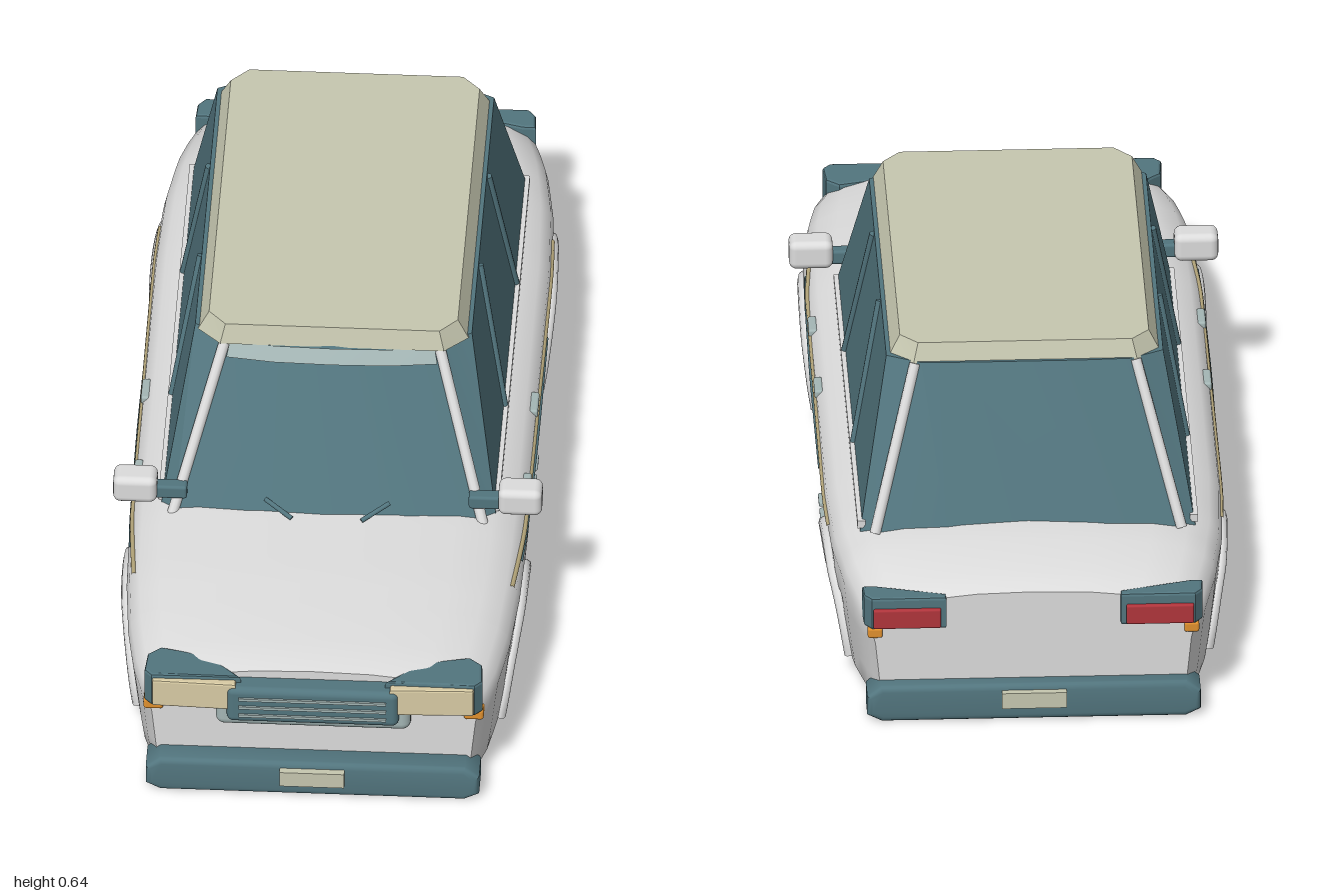
import * as THREE from 'three';
import { toCreasedNormals } from 'three/addons/utils/BufferGeometryUtils.js';
import { RoundedBoxGeometry } from 'three/addons/geometries/RoundedBoxGeometry.js';

const mat = (name, color) => new THREE.MeshStandardMaterial({ name, color });
const white = mat('body white', 0xdcdcdc);
const dark = mat('dark teal', 0x52757e);
const cream = mat('roof cream', 0xc6c7b0);
const lens = mat('lamp cream', 0xd8cba4);
const gold = mat('trim gold', 0xb5a67a);
const amber = mat('amber', 0xe0902e);
const red = mat('red', 0xb0353c);
const silver = mat('pale blue grey', 0xa4b6b5);

const V = (x, y, z) => new THREE.Vector3(x, y, z);
const MIRROR = [1, -1];

// Piecewise linear lookup in [key, value] rows with falling keys
function lookup(rows, k) {
  if (k >= rows[0][0]) return rows[0][1];
  for (let i = 1; i < rows.length; i++) {
    const [a, va] = rows[i - 1], [b, vb] = rows[i];
    if (k >= b) return va + (vb - va) * (a - k) / (a - b);
  }
  return rows[rows.length - 1][1];
}

// Full ring from a +x half that starts and ends on the centre line
const mirrorRing = half => [...half, ...half.slice(1, -1).reverse().map(p => V(-p.x, p.y, p.z))];

// Capped skin through rings of equal length
function loft(rings, crease) {
  const n = rings[0].length, pos = [], idx = [];
  rings.forEach(r => r.forEach(p => pos.push(p.x, p.y, p.z)));
  for (let s = 0; s < rings.length - 1; s++) for (let i = 0; i < n; i++) {
    const j = (i + 1) % n, a = s * n + i, b = s * n + j;
    idx.push(a, b + n, b, a, a + n, b + n);
  }
  [0, rings.length - 1].forEach(s => {
    const c = rings[s].reduce((m, p) => m.add(p), V(0, 0, 0)).divideScalar(n);
    const ci = pos.length / 3;
    pos.push(c.x, c.y, c.z);
    for (let i = 0; i < n; i++) {
      const a = s * n + i, b = s * n + (i + 1) % n;
      if (s === 0) idx.push(ci, a, b); else idx.push(ci, b, a);
    }
  });
  const g = new THREE.BufferGeometry();
  g.setAttribute('position', new THREE.Float32BufferAttribute(pos, 3));
  g.setIndex(idx);
  return toCreasedNormals(g, crease);
}

// Body proportions along z: half width and top height
const WIDTH = [[.935, .33], [.9, .35], [.85, .366], [.75, .383], [.6, .395], [.4, .4], [-.45, .4], [-.65, .392], [-.8, .372], [-.9, .347], [-.95, .322]];
const TOP = [[.935, .275], [.9, .284], [.8, .295], [.65, .306], [.45, .314], [.2, .316], [-.6, .316], [-.75, .312], [-.85, .299], [-.92, .283], [-.95, .27]];
const ARCHES = [.54, -.545];

function section(z, yb) {
  const w = lookup(WIDTH, z), t = lookup(TOP, z);
  return [[0, yb], [.9, yb], [.94, .03], [.96, .08], [.985, .16], [1, t - .09], [.985, t - .065],
    [.935, t - .045], [.83, t - .026], [.65, t - .013], [.35, t - .003], [0, t]]
    .map(([f, y]) => V(f * w, Math.max(y, yb), z));
}
const sideX = (z, y) => lookup(section(z, 0).slice(1, 10).reverse().map(p => [p.y, p.x]), y);

function bodyGeometry() {
  const stations = [[.935, .025], [.9, .014], [.85, .012], [.79, .015]];
  ARCHES.forEach((c, k) => {
    for (let i = 0; i <= 20; i++) {
      const a = Math.PI * i / 20;
      stations.push([c + .2 * Math.cos(a), .03 + .17 * Math.sin(a)]);
    }
    if (k === 0) [.27, .1, -.1, -.28].forEach(z => stations.push([z, .013]));
  });
  stations.push([-.79, .015], [-.85, .013], [-.9, .017], [-.925, .022], [-.95, .03]);
  return loft(stations.map(([z, y]) => mirrorRing(section(z, y))), .6);
}

export function createModel() {
  const car = new THREE.Group();
  car.name = 'car';
  const add = (name, geo, m) => {
    const mesh = new THREE.Mesh(geo, m);
    mesh.name = name;
    car.add(mesh);
    return mesh;
  };
  const box = (name, m, w, h, d, x, y, z, r = 0) => {
    const mesh = add(name, r ? new RoundedBoxGeometry(w, h, d, 3, r) : new THREE.BoxGeometry(w, h, d), m);
    mesh.position.set(x, y, z);
    return mesh;
  };
  const tube = (name, m, pts, r, seg = 1) =>
    add(name, new THREE.TubeGeometry(new THREE.CatmullRomCurve3(pts), seg, r, 8), m);
  const bar = (name, m, a, b, r) => {
    const mesh = add(name, new THREE.CylinderGeometry(r, r, a.distanceTo(b), 10), m);
    mesh.position.copy(a).lerp(b, .5);
    mesh.quaternion.setFromUnitVectors(V(0, 1, 0), b.clone().sub(a).normalize());
  };
  // Upright block from an outline in x and z
  const block = (name, m, outline, y0, y1, bevel = .006) => {
    const shape = new THREE.Shape(outline.map(([x, z]) => new THREE.Vector2(x, -z)));
    const g = new THREE.ExtrudeGeometry(shape, { depth: y1 - y0 - 2 * bevel, bevelThickness: bevel, bevelSize: bevel, bevelOffset: -bevel, bevelSegments: 2 });
    g.rotateX(-Math.PI / 2).translate(0, y0 + bevel, 0);
    add(name, g, m);
  };
  const level = (y, pts) => mirrorRing(pts.map(([x, z]) => V(x, y, z)));

  add('body', bodyGeometry(), white);

  // Glasshouse and roof
  add('windows', loft([
    level(.605, [[0, .285], [.11, .282], [.2, .272], [.278, .23], [.278, -.55], [.21, -.585], [.11, -.588], [0, -.588]]),
    level(.28, [[0, .485], [.16, .472], [.31, .44], [.337, .41], [.337, -.69], [.3, -.72], [.16, -.742], [0, -.735]]),
  ], .3), dark);
  add('roof', loft([
    level(.641, [[0, .275], [.215, .275], [.25, .235], [.25, -.53], [.215, -.568], [0, -.568]]),
    level(.6, [[0, .287], [.225, .287], [.272, .24], [.272, -.54], [.225, -.583], [0, -.583]]),
  ], .3), cream);

  // Tinted band at the top of the windscreen
  const band = [[.6, .206, .278, .292], [.572, .212, .294, .309]].map(([y, x, z, zc]) =>
    [[-x, z], [-x * .55, zc - .003], [0, zc], [x * .55, zc - .003], [x, z]].map(([px, pz]) => V(px, y, pz)));
  const bandGeo = new THREE.PlaneGeometry(1, 1, 4, 1);
  band.flat().forEach((p, i) => bandGeo.attributes.position.setXYZ(i, p.x, p.y, p.z));
  bandGeo.computeVertexNormals();
  add('sunBand', bandGeo, silver);

  for (const s of MIRROR) {
    // Corner pillars, window dividers and sill trim
    bar('frontPillar', white, V(s * .215, .602, .272), V(s * .312, .285, .44), .011);
    bar('rearPillar', white, V(s * .222, .602, -.582), V(s * .308, .29, -.718), .011);
    bar('windowDivider', dark, V(s * .28, .6, -.003), V(s * .334, .3, .068), .008);
    bar('windowDivider', dark, V(s * .28, .6, -.297), V(s * .334, .3, -.336), .008);
    box('windowSill', white, .016, .016, 1.09, s * .334, .296, -.145);

    // Mirrors and wipers
    box('mirror', white, .088, .06, .062, s * .387, .346, .425, .015);
    box('mirrorArm', dark, .07, .03, .03, s * .318, .335, .425, .006);
    bar('wiper', dark, V(s * .125, .338, .452), V(s * .07, .314, .482), .005);

    // Side mouldings, handles and sill jacking points
    const line = (y0, y1) => Array.from({ length: 13 }, (_, i) => {
      const z = .605 - i * 1.175 / 12, y = y0 + (y1 - y0) * i / 12;
      return V(s * sideX(z, y), y, z);
    });
    tube('sideMoulding', gold, line(.252, .232), .005, 40);
    const low = line(.247, .2).slice(1, 10);
    tube('lowerMoulding', dark, low, .004, 30);
    [.268, 0].forEach(z => box('doorHandle', silver, .018, .018, .065, s * .39, .254, z, .005));
    [-.045, -.11].forEach(z => box('sillStep', silver, .014, .011, .045, s * .385, .024, z, .004));

    // Wheel arch lips
    for (const c of ARCHES) tube('wheelArch', white, Array.from({ length: 17 }, (_, i) => {
      const a = Math.PI * i / 16, z = c + .204 * Math.cos(a), y = .035 + .165 * Math.sin(a);
      return V(s * (sideX(z, y) + .002), y, z);
    }), .012, 40);

    // Headlamps and front indicators
    const at = pts => pts.map(([x, z]) => [s * x, z]);
    block('headlampHousing', dark, at([[.145, .955], [.215, .885], [.31, .862], [.336, .885], [.34, .94], [.325, .957]]), .193, .27);
    block('headlamp', lens, at([[.155, .94], [.155, .972], [.322, .966], [.328, .93]]), .199, .262, .004);
    box('frontIndicator', amber, .04, .024, .035, s * .322, .184, .925, .006);

    // Tail lamps and rear indicators
    block('tailLampHousing', dark, at([[.175, -.94], [.175, -.96], [.325, -.96], [.34, -.94], [.342, -.9], [.315, -.9]]), .196, .266);
    box('tailLamp', red, .136, .042, .016, s * .254, .222, -.961, .004);
    box('rearIndicator', amber, .03, .022, .03, s * .318, .186, -.942, .005);
  }

  // Grille
  box('grilleSurround', silver, .392, .1, .05, 0, .199, .935, .018);
  box('grille', dark, .346, .084, .055, 0, .214, .951, .014);
  [.193, .213, .233].forEach(y => box('grilleBar', silver, .296, .006, .008, 0, y, .979));

  // Bumpers and number plates
  const bumperShape = new THREE.Shape([[-.323, .022], [-.303, .012], [.303, .012], [.323, .022],
    [.323, .05], [.303, .066], [-.303, .066], [-.323, .05]].map(p => new THREE.Vector2(...p)));
  const bumperGeo = toCreasedNormals(new THREE.ExtrudeGeometry(bumperShape, { depth: .06, bevelSize: .012, bevelThickness: .012, bevelSegments: 4 }), .7);
  for (const s of MIRROR) {
    const bumper = add(s > 0 ? 'frontBumper' : 'rearBumper', bumperGeo, dark);
    bumper.position.z = s * .913;
    if (s < 0) bumper.rotation.y = Math.PI;
    box('numberPlate', cream, .13, .034, .018, 0, .05, s * .991);
  }
  return car;
}
